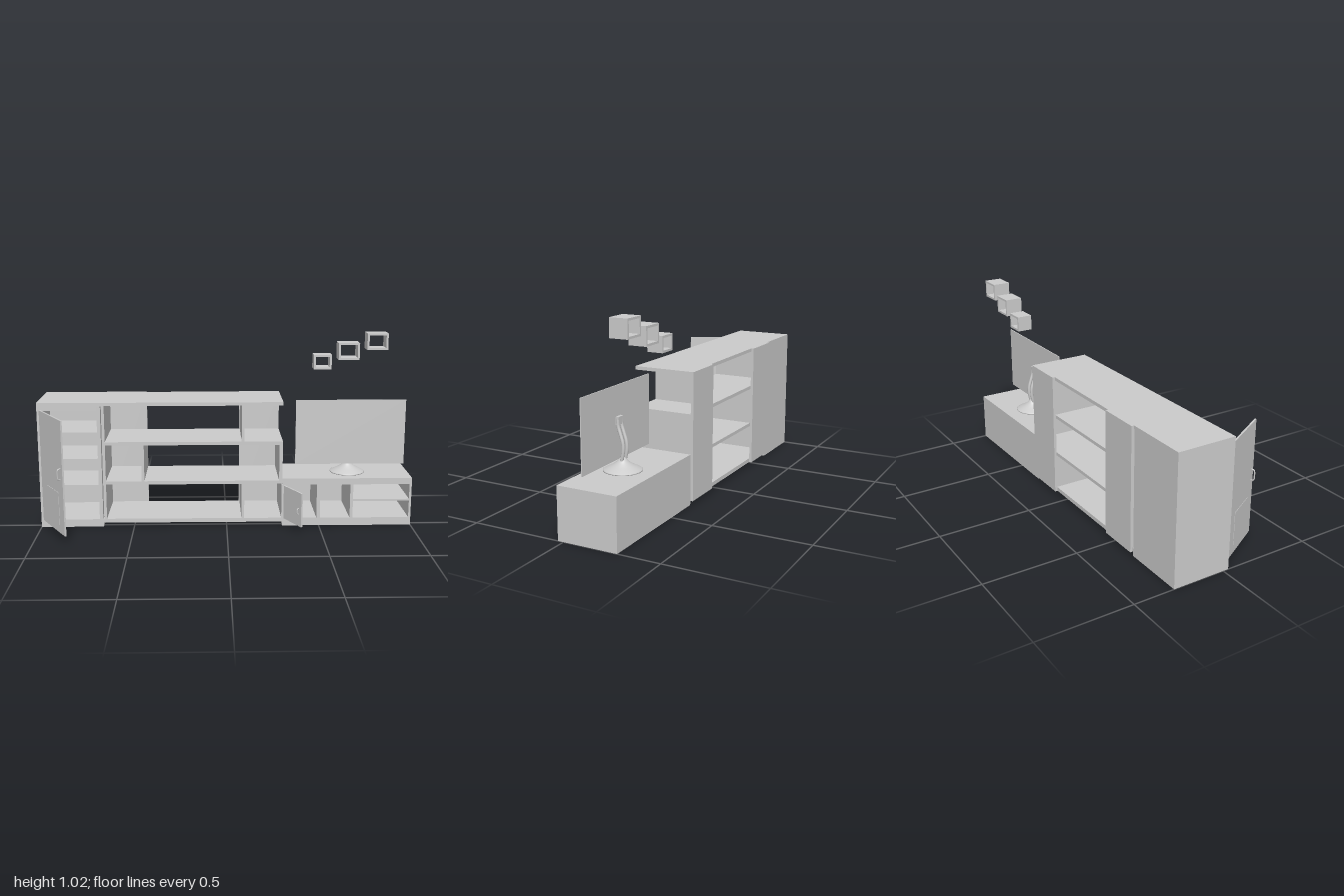
import * as THREE from 'three';

const mat = new THREE.MeshStandardMaterial({ color: 0xcccccc, side: THREE.DoubleSide });
const FRONT = 0.03, BACK = -0.283;

function add(parent, name, geometry) {
  const mesh = new THREE.Mesh(geometry, mat);
  mesh.name = name;
  parent.add(mesh);
  return mesh;
}

// Box given by its limits on each axis
function slab(parent, name, x0, x1, y0, y1, z0 = BACK, z1 = FRONT) {
  const mesh = add(parent, name, new THREE.BoxGeometry(x1 - x0, y1 - y0, z1 - z0));
  mesh.position.set((x0 + x1) / 2, (y0 + y1) / 2, (z0 + z1) / 2);
  return mesh;
}

function group(parent, name) {
  const g = new THREE.Group();
  g.name = name;
  parent.add(g);
  return g;
}

// Door swung open about its left edge, with a bow handle on the outer face
function door(parent, name, x, width, y0, y1, angle, handleY, handleH) {
  const g = group(parent, name);
  g.position.set(x, 0, FRONT);
  g.rotation.y = -angle;
  slab(g, 'doorLeaf', 0, width, y0, y1, -0.009, 0);
  const hx = width - 0.025, h = handleH / 2, out = handleH * 0.28;
  const path = new THREE.CatmullRomCurve3([
    [-h, 0], [-h * 0.85, out * 0.8], [0, out], [h * 0.85, out * 0.8], [h, 0],
  ].map(([dy, z]) => new THREE.Vector3(hx, handleY + dy, z)));
  add(g, 'doorHandle', new THREE.TubeGeometry(path, 16, 0.0035, 8));
  return g;
}

// Open square tube hung on the wall
function wallCube(parent, x0, x1, y0, y1, z0, z1) {
  const t = 0.011, s = new THREE.Shape(), hole = new THREE.Path();
  s.moveTo(x0, y0).lineTo(x1, y0).lineTo(x1, y1).lineTo(x0, y1).closePath();
  hole.moveTo(x0 + t, y0 + t).lineTo(x0 + t, y1 - t).lineTo(x1 - t, y1 - t).lineTo(x1 - t, y0 + t).closePath();
  s.holes.push(hole);
  const cube = add(parent, 'wallCube', new THREE.ExtrudeGeometry(s, { depth: z1 - z0, bevelEnabled: false }));
  cube.position.z = z0;
}

export function createModel() {
  const model = new THREE.Group();
  model.name = 'wallUnit';

  // Tall cabinet
  const tall = group(model, 'tallCabinet');
  slab(tall, 'cabinetBase', -1, -0.665, 0, 0.042);
  slab(tall, 'cabinetLeftSide', -1, -0.984, 0.042, 0.665);
  slab(tall, 'cabinetRightSide', -0.686, -0.667, 0.042, 0.665);
  slab(tall, 'cabinetTop', -0.984, -0.686, 0.64, 0.665);
  slab(tall, 'cabinetBack', -0.984, -0.686, 0.042, 0.64, BACK, BACK + 0.008);
  for (const y of [0.228, 0.373, 0.518])
    slab(tall, 'cabinetShelf', -0.984, -0.686, y - 0.004, y + 0.004, BACK + 0.008, FRONT - 0.012);
  const tallDoor = door(tall, 'tallDoor', -0.988, 0.308, 0.04, 0.645, 1.045, 0.363, 0.06);
  slab(tallDoor, 'doorPanel', 0.075, 0.245, 0.083, 0.258, 0, 0.002);

  // Open shelving
  const shelves = group(model, 'openShelving');
  slab(shelves, 'topBoard', -1, 0.3, 0.665, 0.683);
  slab(shelves, 'bottomBoard', -0.665, 0.3, 0.022, 0.044);
  slab(shelves, 'leftUpright', -0.662, -0.647, 0.044, 0.665);
  for (const y of [0.236, 0.452]) slab(shelves, 'shelf', -0.647, 0.3, y, y + 0.018);
  slab(shelves, 'upperDivider', 0.08, 0.095, 0.47, 0.665);
  slab(shelves, 'middleDivider', -0.456, -0.441, 0.254, 0.452);
  slab(shelves, 'middleEnd', 0.282, 0.3, 0.254, 0.452);
  slab(shelves, 'lowerDivider', 0.08, 0.095, 0.044, 0.236);
  for (const [x0, x1] of [[-0.662, -0.441], [0.076, 0.3]])
    slab(shelves, 'backPanel', x0, x1, 0.022, 0.683, -0.297, BACK);

  // Low cabinet
  const low = group(model, 'lowCabinet');
  slab(low, 'lowBase', 0.3, 1, 0, 0.043);
  slab(low, 'lowTop', 0.3, 1, 0.23, 0.264);
  for (const [x0, x1] of [[0.296, 0.308], [0.487, 0.506], [0.668, 0.684], [0.988, 1]])
    slab(low, 'lowUpright', x0, x1, 0.043, 0.23);
  slab(low, 'lowShelf', 0.684, 0.988, 0.136, 0.147);
  slab(low, 'lowBack', 0.308, 0.988, 0.043, 0.23, BACK, BACK + 0.008);
  door(low, 'lowDoor', 0.308, 0.172, 0.041, 0.225, 1.09, 0.122, 0.03);

  // Screen on a flared round foot
  const tv = group(model, 'television');
  slab(tv, 'screen', 0.378, 0.975, 0.314, 0.671, -0.092, -0.087);
  const profile = new THREE.SplineCurve([
    [0.094, 0.268], [0.075, 0.278], [0.052, 0.29], [0.032, 0.304], [0.016, 0.32], [0.008, 0.325],
  ].map(p => new THREE.Vector2(...p))).getPoints(20);
  const foot = add(tv, 'foot', new THREE.LatheGeometry(
    [new THREE.Vector2(0, 0.264), new THREE.Vector2(0.094, 0.264), ...profile, new THREE.Vector2(0, 0.325)], 40));
  foot.position.set(0.668, 0, -0.115);

  // Twin curved stems joined by a head behind the screen
  for (const dx of [-0.016, 0.016]) {
    const stem = new THREE.CatmullRomCurve3([
      [0.31, -0.118], [0.36, -0.127], [0.4, -0.125], [0.44, -0.113], [0.475, -0.102], [0.515, -0.099],
    ].map(([y, z]) => new THREE.Vector3(0.668 + dx, y, z)));
    add(tv, 'stem', new THREE.TubeGeometry(stem, 24, 0.0085, 10));
  }
  slab(tv, 'stemHead', 0.645, 0.691, 0.485, 0.523, -0.107, -0.092);

  // Stepped wall cubes
  const cubes = group(model, 'wallCubes');
  wallCube(cubes, 0.483, 0.581, 0.82, 0.9, -0.28, -0.2);
  wallCube(cubes, 0.617, 0.732, 0.873, 0.965, -0.282, -0.19);
  wallCube(cubes, 0.772, 0.886, 0.927, 1.018, -0.279, -0.187);

  return model;
}
